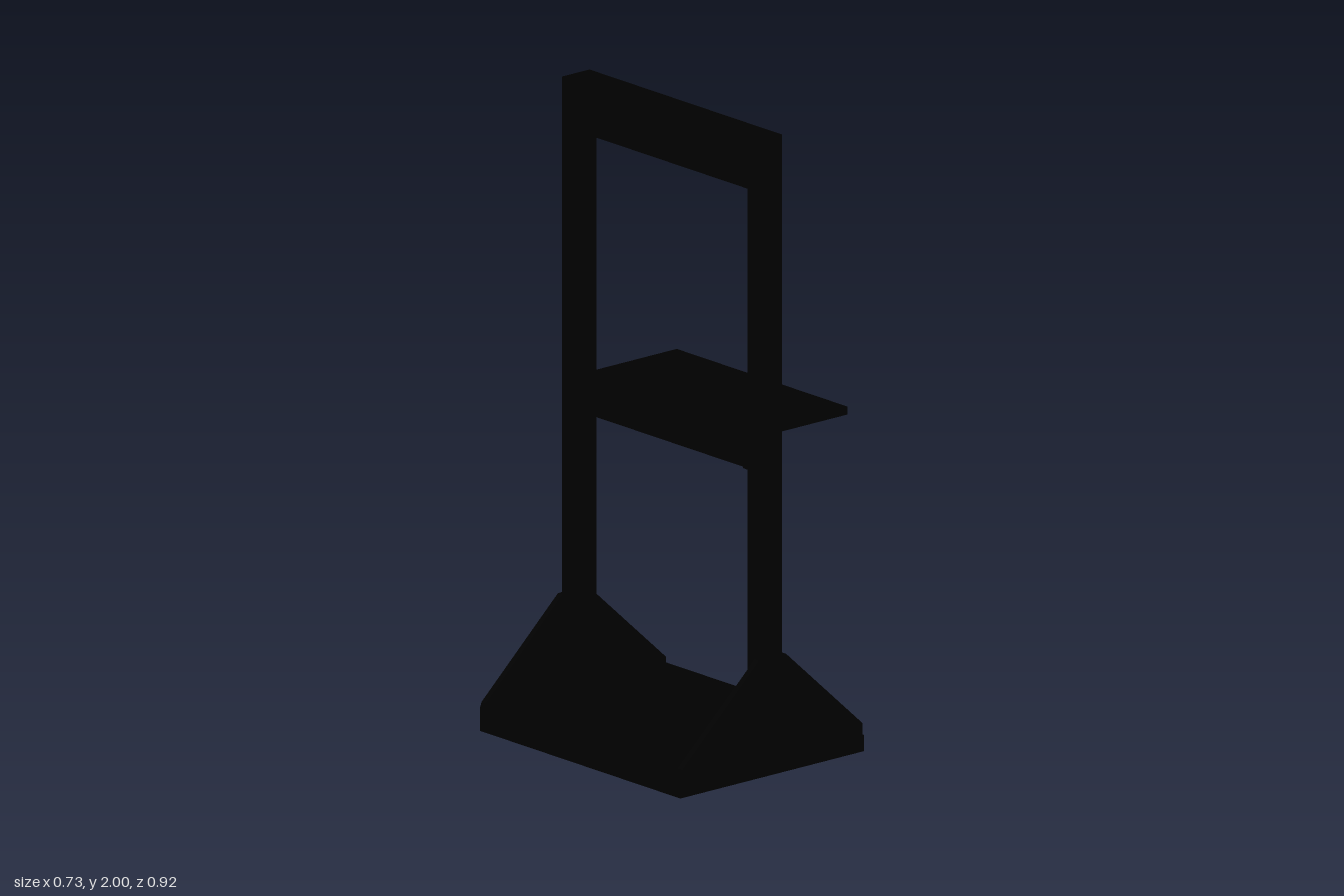
import * as THREE from 'three';

export function createModel() {
  const group = new THREE.Group();
  const black = new THREE.MeshStandardMaterial({ color: 0x000000 });
  black.name = 'black';

  const add = (name, geometry) => {
    const mesh = new THREE.Mesh(geometry, black);
    mesh.name = name;
    group.add(mesh);
    return mesh;
  };
  // Box given by its minimum and maximum corners
  const box = (name, [x0, y0, z0], [x1, y1, z1]) => {
    const mesh = add(name, new THREE.BoxGeometry(x1 - x0, y1 - y0, z1 - z0));
    mesh.position.set((x0 + x1) / 2, (y0 + y1) / 2, (z0 + z1) / 2);
  };
  // Outline in x and y, extruded from z0 to z1
  const slab = (name, points, z0, z1) => {
    const shape = new THREE.Shape(points.map(([x, y]) => new THREE.Vector2(x, y)));
    const geometry = new THREE.ExtrudeGeometry(shape, { depth: z1 - z0, bevelEnabled: false });
    add(name, geometry.translate(0, 0, z0));
  };

  // Base floor
  slab('baseFloor', [[-0.367, 0], [0.367, 0], [0.367, 0.05], [0.36, 0.072], [-0.367, 0.072]], -0.44, 0.44);

  // Tapered end plates, and upright posts that are shallow channels facing inward
  const plate = [[-0.367, 0], [0.367, 0], [0.367, 0.05], [0.36, 0.055], [0.36, 0.09],
    [0.055, 0.37], [-0.055, 0.37], [-0.36, 0.09], [-0.367, 0.072]];
  for (const [side, s] of [['front', 1], ['back', -1]]) {
    const zs = (a, b) => [Math.min(s * a, s * b), Math.max(s * a, s * b)];
    slab(side + 'EndPlate', plate, ...zs(0.44, 0.458));
    const [w0, w1] = zs(0.424, 0.44);
    box(side + 'PostWeb', [-0.055, 0.072, w0], [0.055, 2, w1]);
    const [f0, f1] = zs(0.408, 0.424);
    for (const x of [-0.05, 0.05]) {
      box(side + 'PostFlange', [x - 0.005, 0.072, f0], [x + 0.005, 2, f1]);
    }
  }

  // Lower crossbar, an open channel
  box('crossbarBottom', [-0.045, 0.11, -0.424], [0.045, 0.12, 0.424]);
  for (const x of [-0.04, 0.04]) {
    box('crossbarWall', [x - 0.005, 0.12, -0.424], [x + 0.005, 0.155, 0.424]);
  }

  // Middle beam with small end brackets, carrying the shelf
  box('middleBeam', [-0.045, 0.96, -0.424], [0.045, 1.045, 0.424]);
  for (const z of [-0.398, 0.398]) {
    box('beamBracket', [-0.055, 0.96, z - 0.01], [0.055, 1.045, z + 0.01]);
  }
  box('shelf', [-0.045, 1.045, -0.39], [0.36, 1.07, 0.39]);

  // Top rail with a narrower beam beneath it and a row of flat studs
  box('topRail', [-0.055, 1.97, -0.424], [0.055, 2, 0.424]);
  box('topBeam', [-0.035, 1.835, -0.424], [0.035, 1.97, 0.424]);
  for (let i = 0; i < 8; i++) {
    const stud = add('stud', new THREE.CylinderGeometry(0.016, 0.016, 0.006, 16));
    stud.rotation.z = Math.PI / 2;
    stud.position.set(0.035, 1.89, -0.3 + i * 0.6 / 7);
  }
  return group;
}
